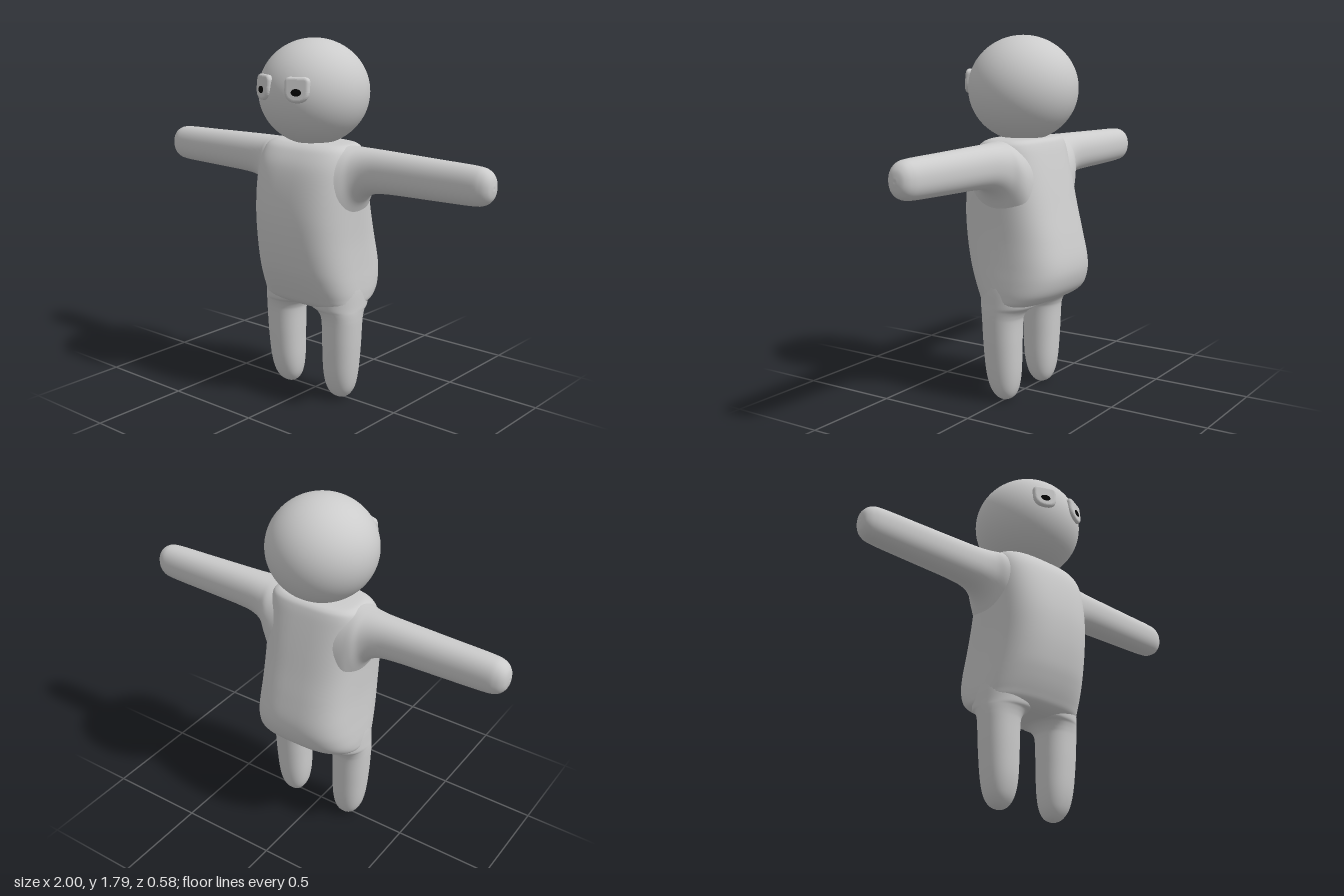
import * as THREE from 'three';

const grey = new THREE.MeshStandardMaterial({ color: 0xcccccc });
const black = new THREE.MeshStandardMaterial({ color: 0x050505 });

// Smooth loft. Each section is [t, aMin, aMax, bMin, bMax]:
// along y the pair (a, b) is (z, x), along x it is (y, z). n is the squareness of the rings.
function loft(axis, n, sections, around = 48, steps = 6) {
  const spline = (i, j) => new THREE.CatmullRomCurve3(
    sections.map(s => new THREE.Vector3(s[0], s[i], s[j])), false, 'catmullrom', 0.5);
  const aCurve = spline(1, 2), bCurve = spline(3, 4);
  const rows = (sections.length - 1) * steps;
  const pos = [], index = [];
  const power = v => Math.sign(v) * Math.pow(Math.abs(v), 2 / n);
  for (let r = 0; r <= rows; r++) {
    const A = aCurve.getPoint(r / rows), B = bCurve.getPoint(r / rows);
    for (let k = 0; k < around; k++) {
      const q = (k / around) * Math.PI * 2;
      const a = (A.y + A.z) / 2 + power(Math.cos(q)) * (A.z - A.y) / 2;
      const b = (B.y + B.z) / 2 + power(Math.sin(q)) * (B.z - B.y) / 2;
      if (axis === 'y') pos.push(b, A.x, a);
      else pos.push(A.x, a, b);
      if (r < rows) {
        const p = r * around + k, s = r * around + (k + 1) % around;
        index.push(p, s, p + around, s, s + around, p + around);
      }
    }
  }
  const g = new THREE.BufferGeometry();
  g.setAttribute('position', new THREE.Float32BufferAttribute(pos, 3));
  g.setIndex(index);
  g.computeVertexNormals();
  return g;
}

// Mirror a geometry in x, keeping its faces outward
function mirrored(geometry) {
  const g = geometry.clone();
  const p = g.attributes.position;
  for (let i = 0; i < p.count; i++) p.setX(i, -p.getX(i));
  const ix = Array.from(g.index.array);
  for (let i = 0; i < ix.length; i += 3) [ix[i + 1], ix[i + 2]] = [ix[i + 2], ix[i + 1]];
  g.setIndex(ix);
  g.computeVertexNormals();
  return g;
}

function add(parent, name, geometry, material = grey) {
  const m = new THREE.Mesh(geometry, material);
  m.name = name;
  parent.add(m);
  return m;
}

// Eye outline: square lid on top, round below
function eyeShape(w, top, bottom) {
  const s = new THREE.Shape();
  s.moveTo(-w + 0.012, top);
  s.quadraticCurveTo(-w, top, -w, top - 0.012);
  s.lineTo(-w, bottom + 0.045);
  s.bezierCurveTo(-w, bottom + 0.01, -w * 0.6, bottom, 0, bottom);
  s.bezierCurveTo(w * 0.6, bottom, w, bottom + 0.01, w, bottom + 0.045);
  s.lineTo(w, top - 0.012);
  s.quadraticCurveTo(w, top, w - 0.012, top);
  s.closePath();
  return s;
}

export function createModel() {
  const model = new THREE.Group();
  model.name = 'figure';

  // Head
  const head = add(model, 'head', new THREE.SphereGeometry(0.27, 64, 40));
  head.scale.y = 0.95;
  head.position.set(0, 1.535, 0.01);

  // Torso: round belly, back hanging low over the legs
  add(model, 'torso', loft('y', 3, [
    [0.478, 0, 0, 0, 0],
    [0.48, -0.08, 0.09, -0.22, 0.22],
    [0.505, -0.18, 0.145, -0.268, 0.268],
    [0.55, -0.25, 0.175, -0.275, 0.275],
    [0.62, -0.283, 0.208, -0.272, 0.272],
    [0.7, -0.287, 0.235, -0.266, 0.266],
    [0.82, -0.262, 0.256, -0.26, 0.26],
    [0.95, -0.228, 0.261, -0.26, 0.26],
    [1.08, -0.195, 0.245, -0.262, 0.262],
    [1.19, -0.165, 0.215, -0.26, 0.26],
    [1.26, -0.143, 0.172, -0.25, 0.25],
    [1.29, -0.125, 0.135, -0.225, 0.225],
    [1.3, -0.09, 0.09, -0.17, 0.17],
    [1.3, 0, 0, 0, 0],
  ], 72));

  // Arms: flare into the shoulder and flank
  const arm = loft('x', 2.2, [
    [0.15, 0.78, 1.29, -0.17, 0.19],
    [0.21, 0.86, 1.293, -0.16, 0.175],
    [0.25, 0.955, 1.292, -0.145, 0.145],
    [0.29, 1.03, 1.291, -0.12, 0.11],
    [0.35, 1.072, 1.29, -0.105, 0.088],
    [0.45, 1.087, 1.288, -0.097, 0.078],
    [0.7, 1.093, 1.282, -0.09, 0.07],
    [0.9, 1.098, 1.277, -0.084, 0.064],
    [0.96, 1.108, 1.267, -0.074, 0.054],
    [0.99, 1.135, 1.24, -0.052, 0.034],
    [1.0, 1.17, 1.205, -0.022, 0.008],
    [1.0, 1.187, 1.187, -0.007, -0.007],
  ]);
  add(model, 'leftArm', arm);
  add(model, 'rightArm', mirrored(arm));

  // Legs: rounded feet, spreading at the hip
  const leg = loft('y', 2.3, [
    [0.005, 0, 0, 0.17, 0.17],
    [0.006, -0.018, 0.022, 0.145, 0.192],
    [0.025, -0.043, 0.05, 0.12, 0.22],
    [0.07, -0.062, 0.076, 0.1, 0.245],
    [0.15, -0.074, 0.095, 0.09, 0.261],
    [0.28, -0.08, 0.105, 0.088, 0.273],
    [0.4, -0.084, 0.11, 0.086, 0.279],
    [0.44, -0.092, 0.114, 0.078, 0.28],
    [0.47, -0.112, 0.122, 0.055, 0.28],
    [0.5, -0.15, 0.135, 0.01, 0.279],
    [0.6, -0.15, 0.135, 0.01, 0.272],
    [0.68, -0.08, 0.08, 0.06, 0.25],
  ]);
  add(model, 'leftLeg', leg);
  add(model, 'rightLeg', mirrored(leg));

  // Eyes: soft lidded plates wrapped to the face, each with a dark pupil
  for (const side of [1, -1]) {
    const eye = new THREE.Group();
    eye.name = side > 0 ? 'leftEye' : 'rightEye';
    add(eye, 'eyeball', new THREE.ExtrudeGeometry(eyeShape(0.046, 0.045, -0.045), {
      depth: 0.03, bevelEnabled: true, bevelSize: 0.015, bevelThickness: 0.015,
      bevelSegments: 5, curveSegments: 10,
    }));
    const pupil = add(eye, 'pupil', new THREE.SphereGeometry(1, 24, 14), black);
    pupil.scale.set(0.025, 0.017, 0.006);
    pupil.position.set(0, -0.012, 0.045);
    eye.position.set(side * 0.092, 1.566, 0.226);
    eye.rotation.set(-0.1, side * 0.38, 0, 'YXZ');
    model.add(eye);
  }
  return model;
}
